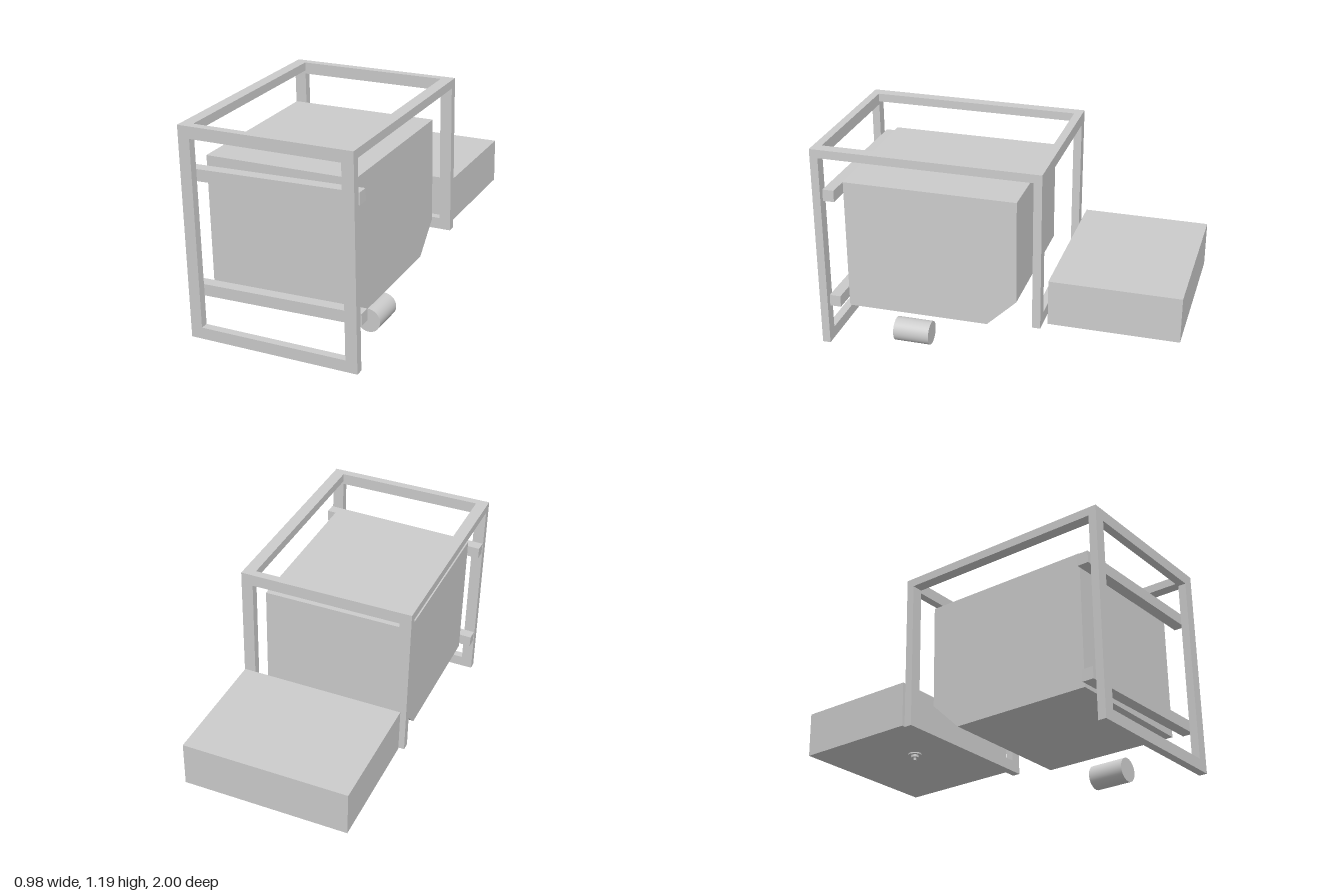
import * as THREE from 'three';

export function createModel() {
  const model = new THREE.Group();
  model.name = 'framedCabinet';
  // the whole assembly leans by one degree
  model.position.set(0.009, 0.0085, 0);
  model.rotation.z = 0.0175;

  const mat = new THREE.MeshStandardMaterial({ color: 0xcccccc });
  const add = (name, geo, x = 0, y = 0, z = 0) => {
    const mesh = new THREE.Mesh(geo, mat);
    mesh.name = name;
    mesh.position.set(x, y, z);
    model.add(mesh);
    return mesh;
  };
  const polygon = (points) => points.map(([x, y]) => new THREE.Vector2(x, y));
  const extrude = (shape, depth) =>
    new THREE.ExtrudeGeometry(shape, { depth, bevelEnabled: false });

  // rectangular frames of flat bar, front one reaching the floor
  const half = 0.48, top = 1.169, bar = 0.065, thick = 0.045;
  const rectangle = (w, y0, y1) => polygon([[-w, y0], [w, y0], [w, y1], [-w, y1]]);
  const frame = (name, bottom, z) => {
    const shape = new THREE.Shape(rectangle(half, bottom, top));
    shape.holes.push(new THREE.Path(rectangle(half - bar, bottom + bar, top - bar)));
    add(name, extrude(shape, thick), 0, 0, z);
  };
  frame('frontFrame', 0, 0.955);
  frame('backFrame', 0.285, -0.26);

  // top rails joining the frames
  for (const [side, name] of [[1, 'leftTopRail'], [-1, 'rightTopRail']]) {
    add(name, new THREE.BoxGeometry(bar, 0.047, 1.17), side * (half - bar / 2), top - 0.0235, 0.37);
  }

  // cross bars behind the front frame, tilted a little more
  for (const [name, y] of [['upperCrossBar', 0.901], ['lowerCrossBar', 0.264]]) {
    add(name, new THREE.BoxGeometry(0.96, 0.065, 0.063), 0, y, 0.9085).rotation.z = 0.0215;
  }

  // cabinet: side profile (z, y) with a chamfered lower back edge
  const width = 0.832;
  const profile = new THREE.Shape(polygon([
    [-0.85, 0.223], [-0.055, 0.225], [0.11, 0.385], [0.11, 0.969], [-0.85, 0.969],
  ]));
  const body = extrude(profile, width);
  body.translate(0, 0, -width / 2);
  body.rotateY(Math.PI / 2);
  add('cabinetBody', body, -0.003);

  // rear box
  add('rearBox', new THREE.BoxGeometry(0.918, 0.254, 0.705), 0, 0.436, -0.6475);

  // small stepped fitting under the rear box
  [[0.038, 0.008, 0.276], [0.022, 0.014, 0.265], [0.008, 0.016, 0.251]].forEach(([r, h, y], i) => {
    add('fittingStep' + (i + 1), new THREE.CylinderGeometry(r, r, h, 24), -0.155, y, -0.47);
  });

  // small drum near the floor
  const drum = new THREE.CylinderGeometry(0.067, 0.067, 0.205, 48);
  drum.rotateX(Math.PI / 2);
  add('drum', drum, 0.352, 0.08, 0.4975);

  return model;
}
